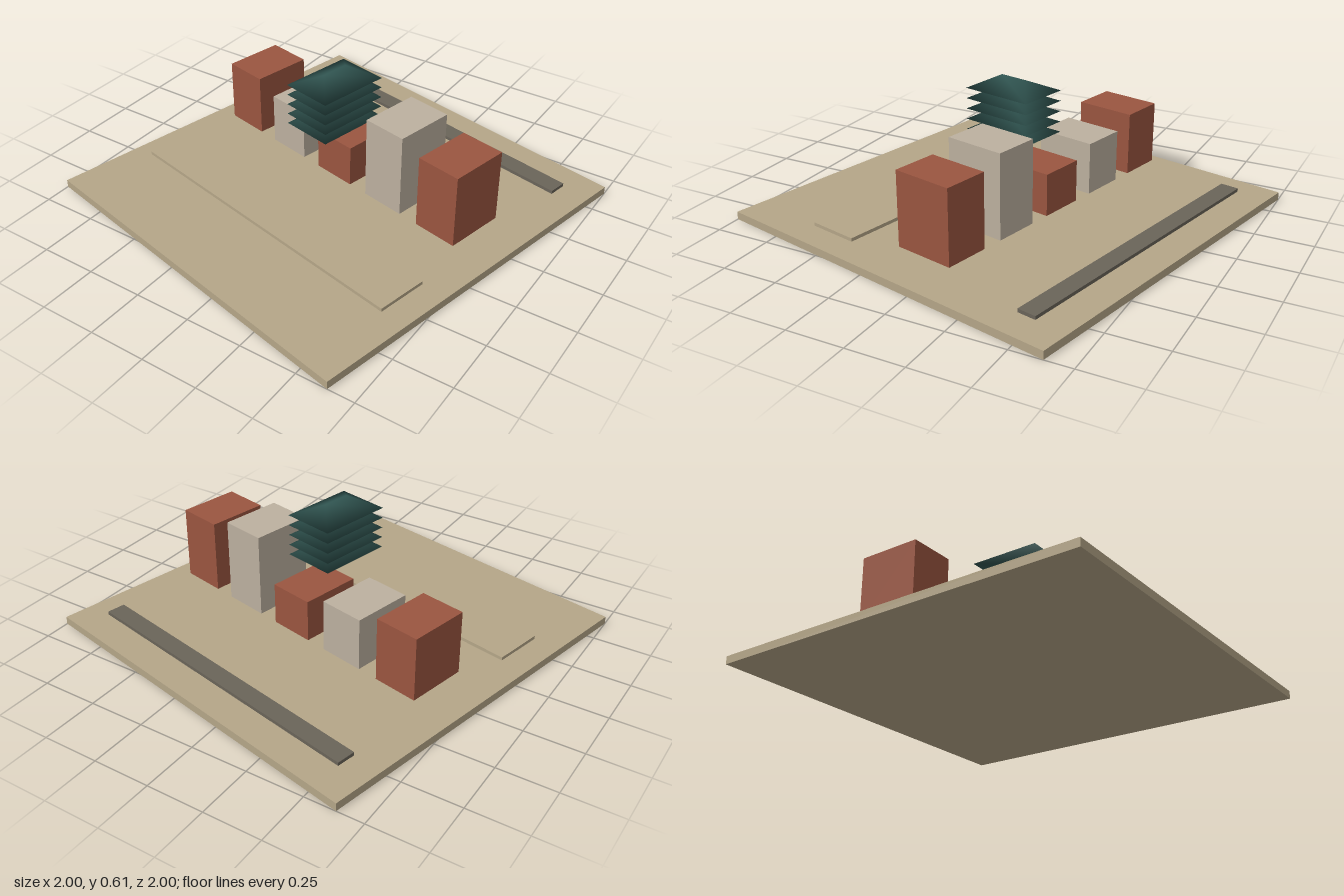
import * as THREE from 'three';

const paint = (color) => new THREE.MeshStandardMaterial({ color });
const sand = paint(0xb5a688), brick = paint(0x9a5540), stone = paint(0xbcb09f);
const asphalt = paint(0x6a6459), tile = paint(0x315652);

// Box standing on height y
function block(name, w, h, d, x, y, z, material) {
  const mesh = new THREE.Mesh(new THREE.BoxGeometry(w, h, d), material);
  mesh.name = name;
  mesh.position.set(x, y + h / 2, z);
  return mesh;
}

// Hipped roof: rectangular eaves rising to a ridge along z, smooth shared normals
function hipRoof(w, d, h, ridge) {
  const x = w / 2, z = d / 2, r = ridge / 2;
  const geometry = new THREE.BufferGeometry();
  geometry.setAttribute('position', new THREE.Float32BufferAttribute([
    -x, 0, -z, x, 0, -z, x, 0, z, -x, 0, z, 0, h, -r, 0, h, r,
  ], 3));
  geometry.setIndex([
    0, 4, 1, 2, 5, 3, // hip ends
    1, 4, 5, 1, 5, 2, 3, 5, 4, 3, 4, 0, // long slopes
    0, 1, 2, 0, 2, 3, // underside
  ]);
  geometry.computeVertexNormals();
  return geometry;
}

export function createModel() {
  const model = new THREE.Group();
  model.name = 'courtyard';

  // Whole site is turned on its plot
  const site = new THREE.Group();
  site.name = 'site';
  site.rotation.y = -0.2196;
  model.add(site);

  // Ground slab, front terrace and rear road
  site.add(block('groundSlab', 1.675, 0.035, 1.675, 0, 0, 0, sand));
  site.add(block('frontTerrace', 1.46, 0.015, 0.226, 0, 0.049, 0.344, sand));
  site.add(block('rearRoad', 1.424, 0.015, 0.082, 0, 0.043, -0.66, asphalt));

  // Row of five buildings, alternating brick and stone
  [0.28, 0.23, 0.185, 0.37, 0.325].forEach((h, i) => {
    site.add(block(`building${i + 1}`, 0.2, h, 0.268, (i - 2) * 0.2926, 0.085, -0.13, i % 2 ? stone : brick));
  });

  // Stack of five hipped roofs
  const tower = new THREE.Group();
  tower.name = 'tieredRoofs';
  const roof = hipRoof(0.23, 0.325, 0.053, 0.123);
  for (let i = 0; i < 5; i++) {
    const mesh = new THREE.Mesh(roof, tile);
    mesh.name = `roofTier${i + 1}`;
    mesh.position.y = 0.37 + i * 0.046;
    tower.add(mesh);
  }
  site.add(tower);
  return model;
}
